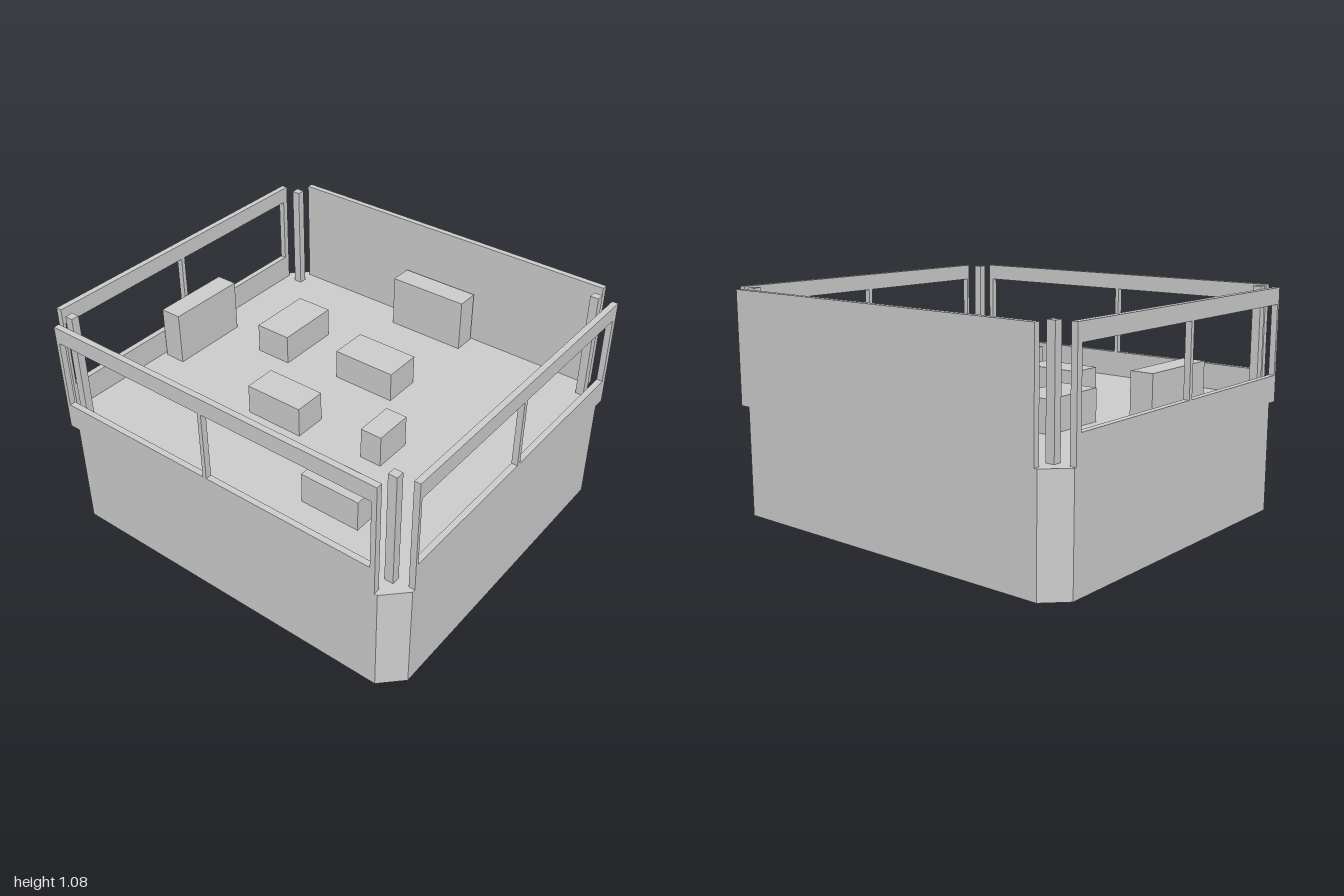
import * as THREE from 'three';

export function createModel() {
  const model = new THREE.Group();
  model.name = 'openRoom';
  const grey = new THREE.MeshStandardMaterial({ color: 0xcccccc });
  grey.name = 'light grey';

  const FLOOR = 0.53, TOP = 1.08, T = 0.03;

  const add = (name, geometry, parent = model) => {
    const mesh = new THREE.Mesh(geometry, grey);
    mesh.name = name;
    parent.add(mesh);
    return mesh;
  };
  const box = (name, x0, x1, y0, y1, z0, z1) => {
    const mesh = add(name, new THREE.BoxGeometry(x1 - x0, y1 - y0, z1 - z0));
    mesh.position.set((x0 + x1) / 2, (y0 + y1) / 2, (z0 + z1) / 2);
  };
  const polygon = (Type, points) => new Type(points.map(([x, y]) => new THREE.Vector2(x, y)));
  const rect = (Type, x0, x1, y0, y1) => polygon(Type, [[x0, y0], [x1, y0], [x1, y1], [x0, y1]]);

  // Solid base with two small and two large chamfered corners (shape y is -z)
  const footprint = polygon(THREE.Shape, [
    [-0.83, -0.91], [0.9, -0.91], [1, -0.81], [1, 0.74],
    [0.83, 0.91], [-0.9, 0.91], [-1, 0.81], [-1, -0.74],
  ]);
  const baseGeometry = new THREE.ExtrudeGeometry(footprint, { depth: FLOOR, bevelEnabled: false });
  add('base', baseGeometry.rotateX(-Math.PI / 2));

  // Wall with two window openings either side of a thin mullion
  const windowWall = (a0, a1, openings) => {
    const shape = rect(THREE.Shape, a0, a1, FLOOR, TOP);
    for (const [o0, o1] of openings) shape.holes.push(rect(THREE.Path, o0, o1, 0.66, 1.0));
    return new THREE.ExtrudeGeometry(shape, { depth: T, bevelEnabled: false });
  };
  add('frontWall', windowWall(-0.885, 0.885, [[-0.865, -0.025], [-0.005, 0.86]])).position.z = 0.91 - T;
  for (const [name, x] of [['leftWall', 1 - T], ['rightWall', -1]]) {
    const wall = add(name, windowWall(-0.795, 0.8, [[-0.78, -0.025], [-0.003, 0.77]]));
    wall.rotation.y = Math.PI / 2;
    wall.position.x = x;
  }
  box('backWall', -0.885, 0.885, FLOOR, TOP, -0.91, -0.91 + T);

  // Corner posts
  for (const sx of [-1, 1]) for (const sz of [-1, 1]) {
    const x = sx * 0.89, z = sz * 0.8;
    box('cornerPost', x - 0.021, x + 0.021, FLOOR, TOP, z - 0.02, z + 0.02);
  }

  // Cabinets against the walls and low blocks on the floor: x0, x1, z0, z1, top
  [
    ['backCabinet', -0.21, 0.205, -0.87, -0.755, 0.8],
    ['sideCabinet', -0.95, -0.84, -0.21, 0.205, 0.8],
    ['floorBlock', -0.6, -0.41, -0.45, -0.115, 0.683],
    ['floorBlock', -0.14, 0.19, -0.365, -0.17, 0.683],
    ['floorBlock', -0.29, 0.017, 0.15, 0.315, 0.683],
    ['floorBlock', 0.333, 0.443, 0.065, 0.262, 0.69],
    ['floorBlock', 0.313, 0.615, 0.5, 0.66, 0.683],
  ].forEach(([name, x0, x1, z0, z1, top]) => box(name, x0, x1, FLOOR, top, z0, z1));

  return model;
}
